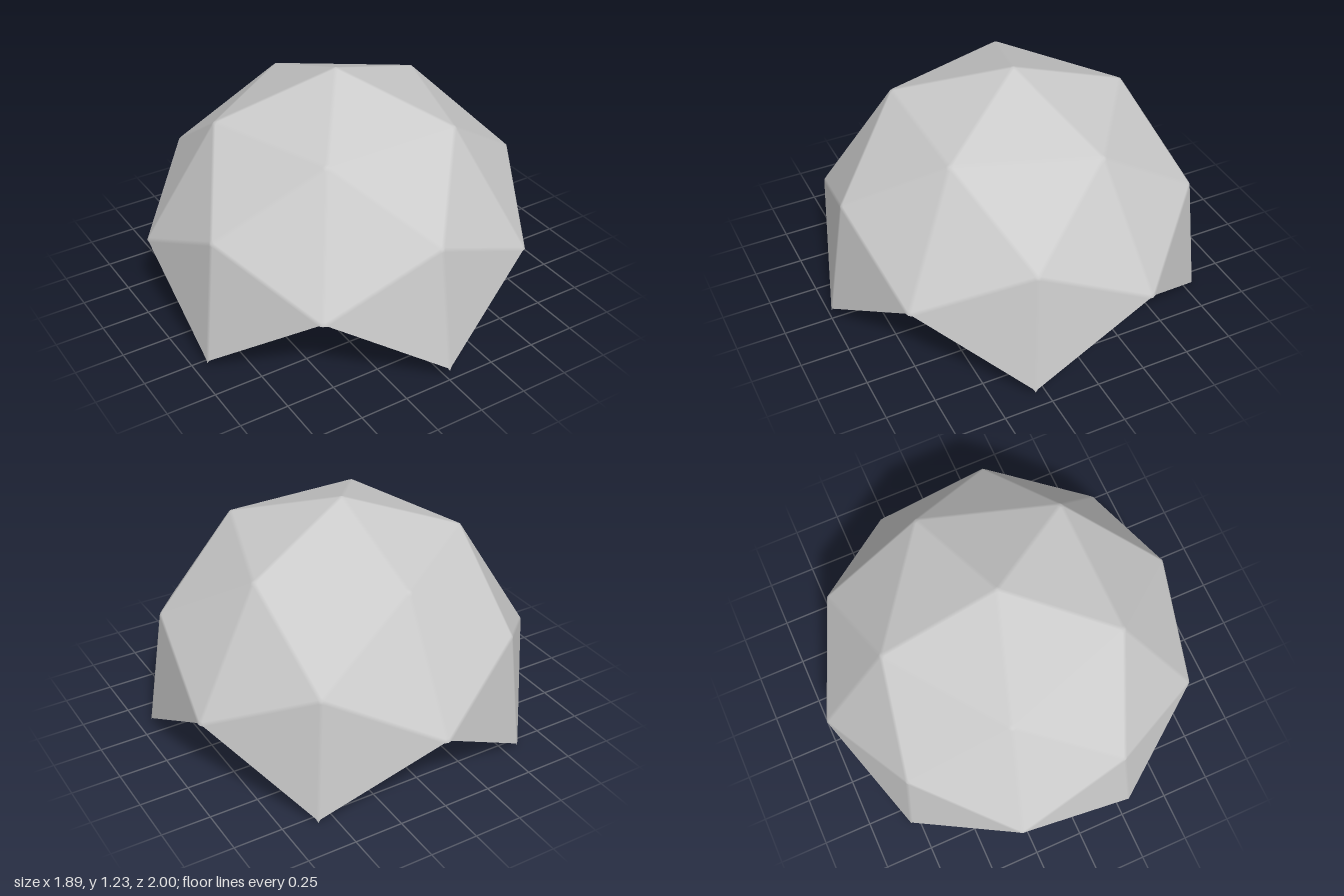
import * as THREE from 'three';

const VERTEX_RADIUS = 1.013; // corners of the pentagons
const CENTRE_RADIUS = 1.02;  // raised centres of the pentagons
const BEVEL = 0.011;         // softened edge width on each facet

// Ring of five points at a latitude sine, turned from the front by an offset
function ring(radius, sinLat, offset) {
  const r = radius * Math.sqrt(1 - sinLat * sinLat);
  return Array.from({ length: 5 }, (_, k) => {
    const a = (k * 2 * Math.PI) / 5 + offset;
    return new THREE.Vector3(r * Math.sin(a), radius * sinLat, r * Math.cos(a));
  });
}

// Facets of the upper half of a pentagon-based geodesic sphere
function domeFacets() {
  const points = [
    new THREE.Vector3(0, CENTRE_RADIUS, 0),
    ...ring(VERTEX_RADIUS, 0.7947, Math.PI / 5),  // 1-5: crown
    ...ring(CENTRE_RADIUS, 0.4472, 0),            // 6-10: side pentagon centres
    ...ring(VERTEX_RADIUS, 0.1876, Math.PI / 5),  // 11-15: notches
    ...ring(VERTEX_RADIUS, -0.1876, 0),           // 16-20: foot tips
  ];
  const faces = [];
  for (let k = 0; k < 5; k++) {
    const p = (k + 4) % 5;
    faces.push([0, 1 + p, 1 + k]);
    const loop = [1 + p, 11 + p, 16 + k, 11 + k, 1 + k];
    loop.forEach((v, i) => faces.push([6 + k, v, loop[(i + 1) % 5]]));
  }
  return { points, faces };
}

// Flat facets joined by narrow smooth bevels along the shared edges
function bevelledShell({ points, faces }) {
  const position = [], normal = [];
  const triangle = (...corners) => corners.forEach((c) => {
    position.push(...c.p.toArray());
    normal.push(...c.n.toArray());
  });
  const tips = points.map((p) => ({
    p: p.clone().multiplyScalar(0.998), n: p.clone().normalize(),
  }));
  const edges = new Map();

  for (const face of faces) {
    const [a, b, c] = face.map((i) => points[i]);
    const n = new THREE.Vector3().subVectors(b, a)
      .cross(new THREE.Vector3().subVectors(c, a));
    const area2 = n.length();
    n.normalize();
    const la = b.distanceTo(c), lb = c.distanceTo(a), lc = a.distanceTo(b);
    const perimeter = la + lb + lc;
    const incentre = new THREE.Vector3()
      .addScaledVector(a, la / perimeter)
      .addScaledVector(b, lb / perimeter)
      .addScaledVector(c, lc / perimeter);
    const t = BEVEL / (area2 / perimeter);
    const corners = [a, b, c].map((v) => ({ p: v.clone().lerp(incentre, t), n }));
    triangle(...corners);
    face.forEach((i, s) => {
      const e = (s + 1) % 3;
      edges.set(`${i},${face[e]}`, { i, j: face[e], ci: corners[s], cj: corners[e] });
    });
  }

  // Bevel strip and its two pointed ends for every shared edge
  for (const { i, j, ci, cj } of edges.values()) {
    const other = edges.get(`${j},${i}`);
    if (!other || i > j) continue;
    const oi = other.cj, oj = other.ci;
    triangle(ci, oi, oj);
    triangle(ci, oj, cj);
    triangle(tips[i], oi, ci);
    triangle(tips[j], cj, oj);
  }

  const geometry = new THREE.BufferGeometry();
  geometry.setAttribute('position', new THREE.Float32BufferAttribute(position, 3));
  geometry.setAttribute('normal', new THREE.Float32BufferAttribute(normal, 3));
  return geometry;
}

export function createModel() {
  const group = new THREE.Group();
  group.name = 'geodesicDome';
  const shell = new THREE.Mesh(
    bevelledShell(domeFacets()),
    new THREE.MeshStandardMaterial({ color: 0xcccccc, side: THREE.DoubleSide }),
  );
  shell.name = 'domeShell';
  // The dome leans back slightly on its rear feet
  shell.rotation.x = -0.03;
  shell.position.y = 0.215;
  group.add(shell);
  return group;
}
